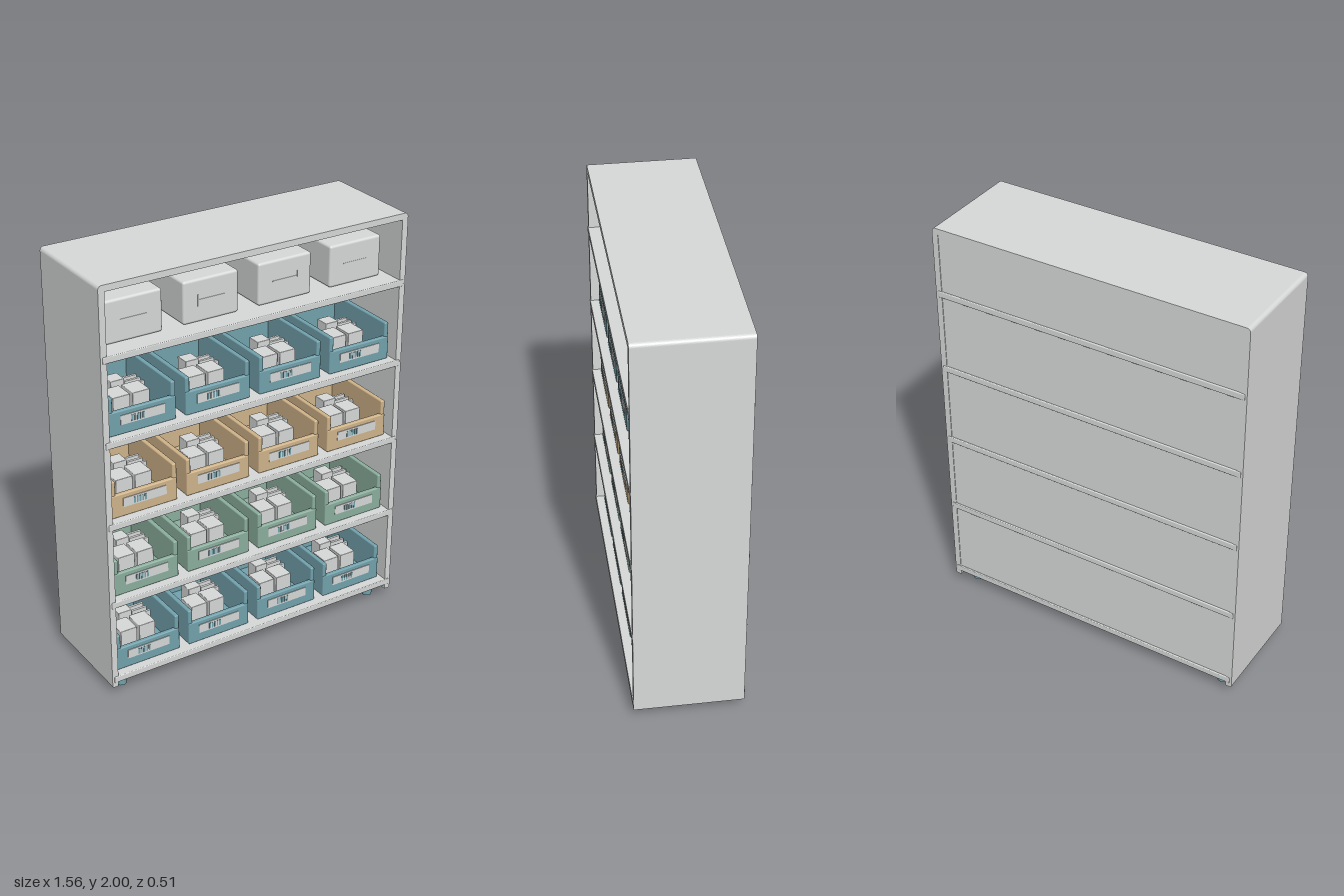
import * as THREE from 'three';
import { RoundedBoxGeometry } from 'three/addons/geometries/RoundedBoxGeometry.js';

const mat = (name, color) => {
  const m = new THREE.MeshStandardMaterial({ color });
  m.name = name;
  return m;
};

export function createModel() {
  const grey = mat('light grey', 0xd7d9d8);
  const teal = mat('teal', 0x72a2ad);
  const tan = mat('tan', 0xd0b48a);
  const green = mat('sage green', 0x8caf9f);

  const model = new THREE.Group();
  model.name = 'storageShelf';

  const add = (parent, name, geometry, material, x, y, z) => {
    const mesh = new THREE.Mesh(geometry, material);
    mesh.name = name;
    mesh.position.set(x, y, z);
    parent.add(mesh);
    return mesh;
  };
  // Box given by its limits on each axis; a radius rounds the edges
  const block = (parent, name, material, [x0, x1], [y0, y1], [z0, z1], r = 0) => {
    const size = [x1 - x0, y1 - y0, z1 - z0];
    const g = r ? new RoundedBoxGeometry(...size, 2, r) : new THREE.BoxGeometry(...size);
    return add(parent, name, g, material, (x0 + x1) / 2, (y0 + y1) / 2, (z0 + z1) / 2);
  };

  // Outer frame: two sides and the top in one piece with rounded upper corners
  const W = 0.778, I = 0.748, R = 0.018, B = 0.045, b = 0.008;
  const s = new THREE.Shape();
  s.moveTo(-W + b, B);
  s.quadraticCurveTo(-W, B, -W, B + b);
  s.lineTo(-W, 2 - R);
  s.absarc(-W + R, 2 - R, R, Math.PI, Math.PI / 2, true);
  s.absarc(W - R, 2 - R, R, Math.PI / 2, 0, true);
  s.lineTo(W, B + b);
  s.quadraticCurveTo(W, B, W - b, B);
  s.lineTo(I, B);
  s.lineTo(I, 1.97);
  s.lineTo(-I, 1.97);
  s.lineTo(-I, B);
  s.closePath();
  const frame = new THREE.ExtrudeGeometry(s, { depth: 0.506, bevelEnabled: false, curveSegments: 5 });
  add(model, 'frame', frame, grey, 0, 0, -0.253);
  block(model, 'backPanel', grey, [-I, I], [0.07, 1.975], [-0.25, -0.235]);

  // Shelves, a little proud of the frame at both faces
  const shelfTops = [0.1, 0.495, 0.89, 1.288, 1.684];
  shelfTops.forEach((y) =>
    block(model, 'shelf', grey, [-0.768, 0.768], [y - 0.031, y], [-0.257, 0.257], 0.004));

  // Legs
  for (const x of [-0.695, 0.695])
    for (const z of [-0.18, 0.18])
      add(model, 'leg', new THREE.CylinderGeometry(0.024, 0.024, 0.075, 20), teal, x, 0.0375, z);

  const columns = [-0.566, -0.189, 0.189, 0.566];

  // Open bin with low front, label and contents; origin at its bottom centre
  const makeBin = (color) => {
    const bin = new THREE.Group();
    bin.name = 'bin';
    const h = 0.164, t = 0.022, back = -0.2, front = 0.215;
    block(bin, 'binFloor', color, [-h + 0.005, h - 0.005], [0, 0.018], [back + 0.005, front - 0.005]);
    block(bin, 'binBack', color, [-h, h], [0, 0.18], [back, back + t], 0.006);
    block(bin, 'binFront', color, [-h, h], [0, 0.112], [front - t, front], 0.006);
    for (const d of [-1, 1]) {
      const x = d * (h - t / 2);
      block(bin, 'binSide', color, [x - t / 2, x + t / 2], [0, 0.18], [back, front - 0.003], 0.006);
    }
    // Label with small printed bars
    block(bin, 'label', grey, [-0.108, 0.108], [0.046, 0.09], [front - 0.002, front + 0.003]);
    for (let i = 0; i < 5; i++) {
      const x = -0.052 + i * 0.0135, w = i % 2 ? 0.003 : 0.0045;
      block(bin, 'labelBar', teal, [x - w, x + w], [0.053, 0.082], [front + 0.002, front + 0.005]);
    }
    // Two small boxes, a taller one behind, and a row of upright cards
    block(bin, 'smallBox', grey, [-0.09, -0.006], [0.018, 0.125], [0.02, 0.12], 0.003);
    block(bin, 'smallBox', grey, [0.006, 0.09], [0.018, 0.125], [0.02, 0.12], 0.003);
    block(bin, 'tallBox', grey, [-0.034, 0.034], [0.018, 0.138], [-0.07, 0.0], 0.003);
    for (let i = 0; i < 3; i++) {
      const z = 0.01 - i * 0.035;
      block(bin, 'card', grey, [0.045, 0.125], [0.018, 0.112], [z - 0.006, z + 0.006]);
    }
    return bin;
  };
  [teal, green, tan, teal].forEach((color, row) => {
    for (const x of columns) {
      const bin = makeBin(color);
      bin.position.set(x, shelfTops[row], 0);
      model.add(bin);
    }
  });

  // Closed boxes on the top shelf, with thin front seams
  columns.forEach((x, i) => {
    const y = shelfTops[4];
    block(model, 'closedBox', grey, [x - 0.138, x + 0.138], [y, y + 0.197], [-0.16, 0.16], 0.012);
    block(model, 'boxHandle', grey, [x - 0.065, x + 0.065], [y + 0.1, y + 0.104], [0.158, 0.162]);
    if (i === 1 || i === 2) {
      const tx = x + (i === 1 ? -0.066 : 0.064);
      block(model, 'boxSeam', grey, [tx - 0.002, tx + 0.002], [y + 0.075, y + 0.127], [0.158, 0.163]);
    }
  });

  return model;
}
